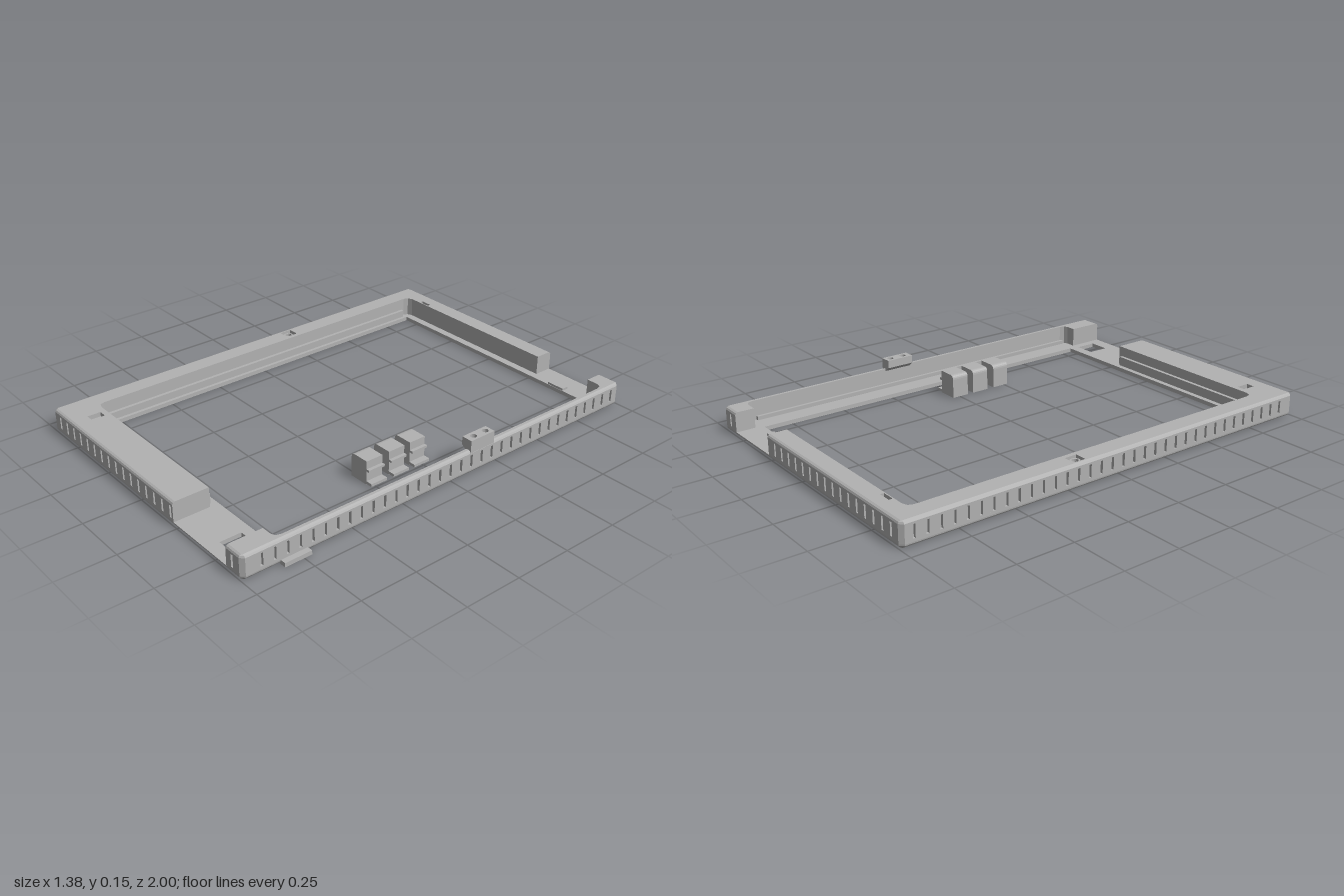
import * as THREE from 'three';

const X0 = -0.69, X1 = 0.665, Z0 = -1, Z1 = 1, C = 0.016;
const FLOOR = 0.018, SLOT_LOW = 0.03, SLOT_HIGH = 0.085, TOP = 0.105;
const clamp = THREE.MathUtils.clamp;

// Rectangle outline in plan, as [x, z] corners
const rect = (x0, x1, z0, z1) => [[x0, z0], [x1, z0], [x1, z1], [x0, z1]];
const circle = (x, z, r, n = 16) => Array.from({ length: n }, (_, i) => {
  const a = (i / n) * Math.PI * 2;
  return [x + r * Math.cos(a), z + r * Math.sin(a)];
});

// Stacks a plan outline through levels [y, inset]; the inset pulls in only the outer rim
function stack(outline, levels, holes = []) {
  const orient = (pts, ccw) => {
    const v = pts.map(([x, z]) => new THREE.Vector2(x, z));
    return THREE.ShapeUtils.isClockWise(v) === ccw ? v.reverse() : v;
  };
  const loops = [orient(outline, true), ...holes.map((h) => orient(h, false))];
  const all = loops.flat();
  const pos = [];
  const put = (p, [y, d]) => pos.push(clamp(p.x, X0 + d, X1 - d), y, clamp(p.y, Z0 + d, Z1 - d));
  for (let k = 0; k + 1 < levels.length; k++) {
    const lo = levels[k], hi = levels[k + 1];
    for (const loop of loops) {
      loop.forEach((a, i) => {
        const b = loop[(i + 1) % loop.length];
        put(a, lo); put(b, hi); put(b, lo);
        put(a, lo); put(a, hi); put(b, hi);
      });
    }
  }
  for (const t of THREE.ShapeUtils.triangulateShape(loops[0], loops.slice(1))) {
    let [a, b, c] = t.map((i) => all[i]);
    if ((b.x - a.x) * (c.y - a.y) - (b.y - a.y) * (c.x - a.x) < 0) [b, c] = [c, b];
    [a, b, c].forEach((p) => put(p, levels[0]));
    [a, c, b].forEach((p) => put(p, levels[levels.length - 1]));
  }
  const g = new THREE.BufferGeometry();
  g.setAttribute('position', new THREE.Float32BufferAttribute(pos, 3));
  g.computeVertexNormals();
  return g;
}

// Outer wall edge from a to b, optionally with a row of grip slots cut inward
const slotsX = Array.from({ length: 23 }, (_, k) => -0.63 + k * 0.0562);
const slotsZ = Array.from({ length: 34 }, (_, k) => 0.915 - k * 0.0564);
function edge(a, b, slotted) {
  const pts = [a];
  if (slotted) {
    const axis = a[0] === b[0] ? 1 : 0, s = Math.sign(b[axis] - a[axis]);
    const depth = axis ? -s * 0.012 : s * 0.012;
    const inside = (axis ? slotsZ : slotsX).filter((v) => (v - a[axis]) * s > 0.012 && (b[axis] - v) * s > 0.012);
    inside.sort((p, q) => (p - q) * s);
    for (const v of inside) {
      for (const [t, d] of [[-1, 0], [-1, depth], [1, depth], [1, 0]]) {
        const p = [0, 0];
        p[axis] = v + t * s * 0.006;
        p[1 - axis] = a[1 - axis] + d;
        pts.push(p);
      }
    }
  }
  return [...pts, b];
}

const leftWall = (slotted) => [
  ...edge([0.23, Z1], [X0 + C, Z1], slotted),
  ...edge([X0, Z1 - C], [X0, Z0 + C], slotted),
  ...edge([X0 + C, Z0], [0.27, Z0], slotted),
  [0.27, -0.915], [-0.57, -0.915], [-0.592, -0.906], [-0.6, -0.885],
  [-0.6, 0.81], [-0.592, 0.832], [-0.57, 0.84], [0.23, 0.84],
];
const rightWall = (slotted) => [
  ...edge([0.56, Z0], [X1 - C, Z0], slotted),
  ...edge([X1, Z0 + C], [X1, Z1 - C], slotted),
  ...edge([X1 - C, Z1], [0.57, Z1], slotted),
  [0.57, 0.84], [0.615, 0.84], [0.633, 0.832], [0.64, 0.81],
  [0.64, -0.885], [0.633, -0.906], [0.615, -0.915], [0.56, -0.915],
];

export function createModel() {
  const model = new THREE.Group();
  const grey = new THREE.MeshStandardMaterial({ color: 0xb2b2b2 });
  grey.name = 'plainGrey';
  const add = (name, geometry, parent = model) => {
    const m = new THREE.Mesh(geometry, grey);
    m.name = name;
    parent.add(m);
    return m;
  };
  const box = (name, x0, x1, y0, y1, z0, z1, parent) => {
    const m = add(name, new THREE.BoxGeometry(x1 - x0, y1 - y0, z1 - z0), parent);
    m.position.set((x0 + x1) / 2, (y0 + y1) / 2, (z0 + z1) / 2);
    return m;
  };

  // Base plate with the big window, port hole and strap hole
  const strapHole = rect(-0.525, -0.508, 0.88, 0.915);
  const plate = [
    [X0 + C, Z0], [X1 - C, Z0], [X1, Z0 + C], [X1, Z1 - C],
    [X1 - C, Z1], [X0 + C, Z1], [X0, Z1 - C], [X0, Z0 + C],
  ];
  add('basePlate', stack(plate, [[0, 0.014], [0.005, 0.006], [0.012, 0.001], [FLOOR, 0]],
    [rect(-0.57, 0.545, -0.88, 0.8), rect(0.44, 0.535, 0.845, 0.94), strapHole]));

  // Walls in three layers: below, across and above the grip slots
  const rim = [[SLOT_HIGH, 0], [0.094, 0], [0.101, 0.004], [TOP, 0.012]];
  const screwHole = circle(-0.645, -0.195, 0.014);
  const latchSlot = rect(-0.518, -0.462, -0.936, -0.92);
  for (const [name, wall, midHoles, topHoles] of [
    ['leftWall', leftWall, [strapHole, screwHole],
      [rect(-0.535, -0.498, 0.865, 0.925), rect(-0.672, -0.62, -0.224, -0.168), latchSlot]],
    ['rightWall', rightWall, [], []],
  ]) {
    const group = new THREE.Group();
    group.name = name;
    model.add(group);
    add('lowerBand', stack(wall(false), [[FLOOR, 0], [SLOT_LOW, 0]], midHoles.slice(0, 1)), group);
    add('slottedBand', stack(wall(true), [[SLOT_LOW, 0], [SLOT_HIGH, 0]], midHoles), group);
    add('topRim', stack(wall(false), rim, topHoles), group);
  }
  add('screwBoss', stack(circle(-0.645, -0.195, 0.021), [[SLOT_HIGH, 0], [0.097, 0]], [screwHole]));

  // Inner ledges along the walls
  box('leftLedge', -0.6, -0.585, FLOOR, 0.05, -0.87, 0.8);
  box('frontLedge', -0.56, 0.21, FLOOR, 0.06, 0.824, 0.84);
  box('rightLedge', 0.627, 0.64, FLOOR, 0.035, -0.87, 0.82);
  box('backTab', 0.37, 0.455, FLOOR, 0.028, -0.915, -0.882);

  // Raised bracket on the right wall: sloped foot and pierced cap
  const foot = new THREE.Shape([[0.64, 0.095], [X1, 0.095], [X1, 0.125], [0.615, 0.125], [0.615, 0.115]]
    .map(([x, y]) => new THREE.Vector2(x, y)));
  const bracket = new THREE.Group();
  bracket.name = 'bracket';
  model.add(bracket);
  add('bracketFoot', new THREE.ExtrudeGeometry(foot, { depth: 0.128, bevelEnabled: false }), bracket)
    .position.z = -0.222;
  add('bracketCap', stack(rect(0.615, X1, -0.222, -0.094), [[0.125, 0], [0.15, 0]],
    [circle(0.64, -0.195, 0.014), circle(0.64, -0.13, 0.014)]), bracket);

  // Thin tab on the outside of the right wall
  box('sideTab', 0.66, 0.69, 0, FLOOR, 0.715, 0.835);

  // Three loose push buttons inside the window
  const cap = new THREE.Shape();
  cap.moveTo(0.375, 0);
  cap.lineTo(0.465, 0);
  cap.lineTo(0.465, TOP);
  cap.lineTo(0.395, TOP);
  cap.quadraticCurveTo(0.375, TOP, 0.375, 0.085);
  for (const z of [0.005, 0.115, 0.23]) {
    const button = new THREE.Group();
    button.name = 'pushButton';
    button.position.z = z;
    model.add(button);
    add('buttonBody', new THREE.ExtrudeGeometry(cap, { depth: 0.08, bevelEnabled: false, curveSegments: 5 }), button)
      .position.z = -0.04;
    box('buttonFlange', 0.46, 0.495, 0.004, 0.016, -0.04, 0.04, button);
    box('buttonNub', 0.46, 0.48, 0.06, 0.07, -0.04, 0.04, button);
  }
  return model;
}
